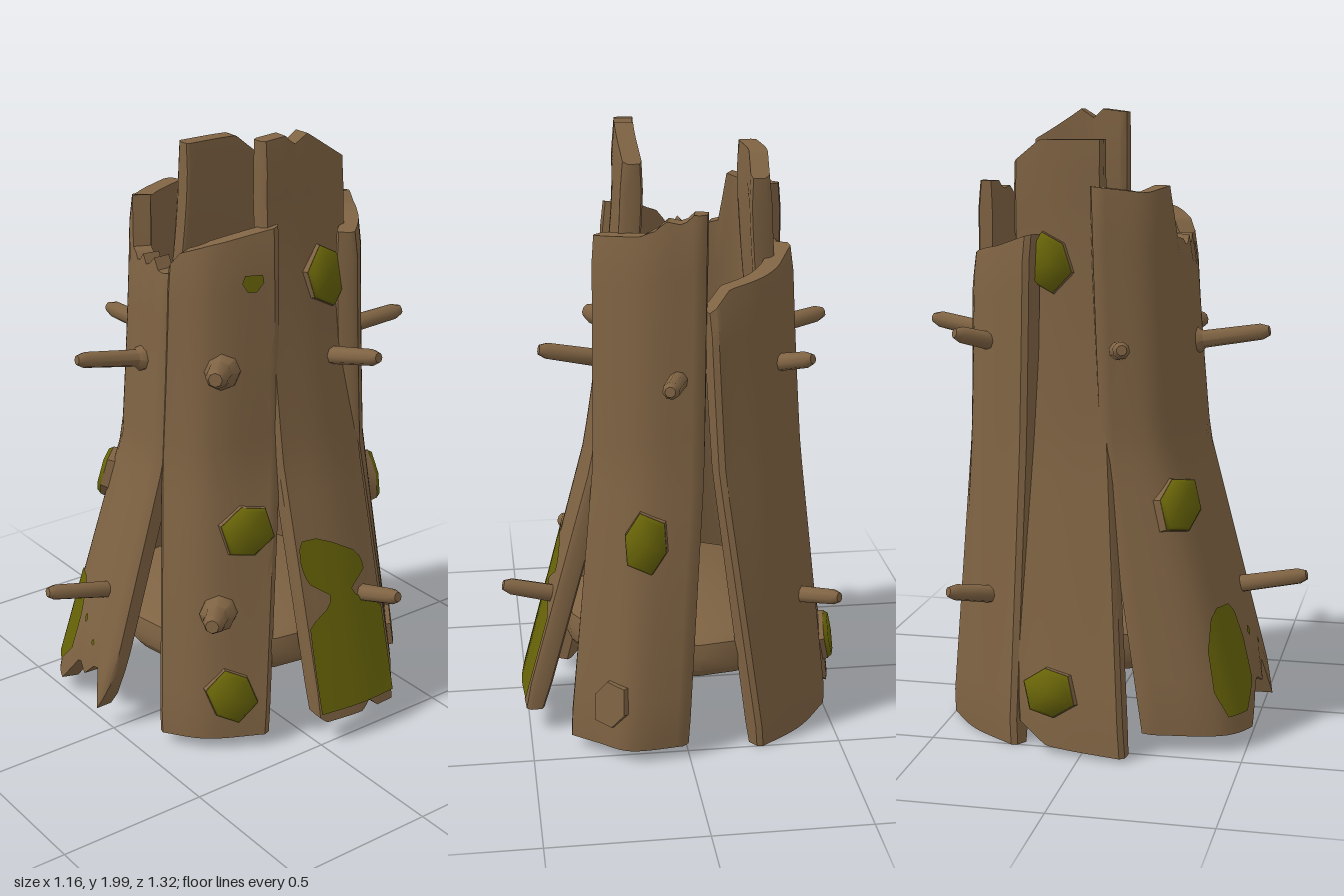
import * as THREE from 'three';
import { toCreasedNormals } from 'three/addons/utils/BufferGeometryUtils.js';

const wood = new THREE.MeshStandardMaterial({ color: 0x7f6343 });
wood.name = 'wood';
const moss = new THREE.MeshStandardMaterial({ color: 0x676308, side: THREE.DoubleSide });
moss.name = 'moss';

// Each plank: outer [x, z] points low, at the bend and high; jagged ends as [u, y]
const LEVELS = [0.05, 0.95, 1.8];
const PLANKS = {
  front: {
    low: [[-0.5, 0.19], [-0.42, 0.46], [-0.2, 0.55], [0, 0.555]],
    mid: [[-0.385, 0.03], [-0.335, 0.205], [-0.19, 0.3], [0.03, 0.315]],
    high: [[-0.375, 0], [-0.31, 0.175], [-0.165, 0.255], [0.02, 0.255]],
    top: [[0, 1.77], [0.3, 1.75], [0.5, 1.77], [0.57, 1.61], [0.65, 1.6], [0.7, 1.57], [0.74, 1.62], [0.8, 1.57], [0.85, 1.62], [0.9, 1.57], [1, 1.58]],
    bottom: [[0, 0.07], [0.5, 0.06], [0.55, 0.1], [0.66, 0.19], [0.75, 0.16], [0.85, 0.22], [0.94, 0.06], [1, 0.22]]
  },
  frontLeft: {
    low: [[0.17, 0.43], [0.295, 0.33], [0.4, 0.14]],
    mid: [[0.025, 0.31], [0.165, 0.22], [0.255, -0.01]],
    high: [[0.015, 0.26], [0.125, 0.18], [0.225, -0.015]],
    top: [[0, 1.6], [0.15, 1.65], [0.6, 1.69], [1, 1.73]],
    bottom: [[0, 0.05], [1, 0.05]]
  },
  left: {
    low: [[0.515, 0.012], [0.535, -0.15], [0.53, -0.31]],
    mid: [[0.275, 0.01], [0.3, -0.16], [0.285, -0.32]],
    high: [[0.18, 0.012], [0.195, -0.15], [0.185, -0.312]],
    top: [[0, 1.99], [0.25, 2], [0.35, 1.97], [0.5, 2], [1, 1.9]],
    bottom: [[0, 0.12], [0.1, 0.09], [0.55, 0.09], [0.65, 0.12], [0.75, 0.09], [1, 0.09]]
  },
  backLeft: {
    low: [[0.385, -0.42], [0.3, -0.485], [0.2, -0.555], [0, -0.545]],
    mid: [[0.29, -0.31], [0.22, -0.385], [0.13, -0.445], [-0.05, -0.475]],
    high: [[0.28, -0.28], [0.21, -0.355], [0.12, -0.42], [-0.055, -0.465]],
    top: [[0, 1.68], [0.6, 1.7], [0.72, 1.72], [0.78, 1.75], [0.88, 1.74], [0.92, 1.77], [1, 1.77]],
    bottom: [[0, 0.05], [1, 0.05]]
  },
  backRight: {
    low: [[-0.235, -0.515], [-0.39, -0.4], [-0.515, -0.23]],
    mid: [[-0.105, -0.475], [-0.3, -0.4], [-0.41, -0.215]],
    high: [[-0.065, -0.475], [-0.25, -0.385], [-0.365, -0.21]],
    top: [[0, 1.47], [0.15, 1.54], [0.7, 1.58], [1, 1.62]],
    bottom: [[0, 0.01], [1, 0.01]]
  },
  right: {
    low: [[-0.515, -0.22], [-0.56, -0.05], [-0.585, 0.14]],
    mid: [[-0.36, -0.25], [-0.38, -0.1], [-0.385, 0.06]],
    high: [[-0.285, -0.275], [-0.295, -0.13], [-0.29, 0.015]],
    top: [[0, 1.84], [0.3, 1.91], [1, 1.91]],
    bottom: [[0, 0.1], [0.3, 0.03], [1, 0.02]]
  }
};
for (const p of Object.values(PLANKS)) {
  p.curves = [p.low, p.mid, p.high].map(pts =>
    new THREE.CatmullRomCurve3(pts.map(([x, z]) => new THREE.Vector3(x, 0, z))));
}

// Piecewise linear lookup; returns the value columns at key t
function lookup(table, t) {
  let i = 0;
  while (i < table.length - 2 && t > table[i + 1][0]) i++;
  const a = table[i], b = table[i + 1], k = (t - a[0]) / (b[0] - a[0]);
  return a.slice(1).map((v, j) => v + (b[j + 1] - v) * k);
}

// Point on a plank's outer face: straight flare below the bend, easing to upright above
function surface(plank, u, y) {
  const s = y < LEVELS[1] ? 0 : 1;
  let t = (y - LEVELS[s]) / (LEVELS[s + 1] - LEVELS[s]);
  if (s === 1) t = 1 - Math.pow(1 - Math.min(t, 1), 1.35);
  const a = plank.curves[s].getPoint(u), b = plank.curves[s + 1].getPoint(u);
  return a.multiplyScalar(1 - t).addScaledVector(b, t).setY(y);
}

function outward(plank, u, y) {
  const t = surface(plank, Math.min(1, u + 0.04), y).sub(surface(plank, Math.max(0, u - 0.04), y));
  const rise = surface(plank, u, y + 0.02).sub(surface(plank, u, y - 0.02));
  return t.cross(rise).normalize();
}

function makeGeometry(points, index) {
  const g = new THREE.BufferGeometry();
  g.setAttribute('position', new THREE.Float32BufferAttribute(points.flatMap(p => [p.x, p.y, p.z]), 3));
  g.setIndex(index);
  return g;
}

// Closed plank: outer face, inner face, sides and broken ends
function plankGeometry(plank) {
  const N = 28, M = 20, ring = 2 * (N + 1), points = [], index = [];
  const quad = (a, b, c, d) => index.push(a, b, c, a, c, d);
  for (let j = 0; j <= M; j++) {
    const outer = [], inner = [];
    for (let i = 0; i <= N; i++) {
      const u = i / N;
      const y = THREE.MathUtils.lerp(lookup(plank.bottom, u)[0], lookup(plank.top, u)[0], j / M);
      const n = outward(plank, u, y).setY(0).normalize();
      const dip = (i === 0 || i === N ? 0.015 : 0) + (j === 0 || j === M ? 0.008 : 0);
      const p = surface(plank, u, y);
      outer.push(p.clone().addScaledVector(n, -dip));
      inner.unshift(p.clone().addScaledVector(n, -0.07 + dip * 0.5));
    }
    points.push(...outer, ...inner);
  }
  for (let j = 0; j < M; j++) for (let i = 0; i < ring; i++) {
    const k = (i + 1) % ring;
    quad(j * ring + i, j * ring + k, (j + 1) * ring + k, (j + 1) * ring + i);
  }
  const last = M * ring;
  for (let i = 0; i < N; i++) {
    const a = ring - 1 - i, b = ring - 2 - i;
    quad(last + i, last + i + 1, last + b, last + a);
    quad(i + 1, i, a, b);
  }
  return toCreasedNormals(makeGeometry(points, index), 0.7);
}

// Flat moss stain following the plank; rows are [y, uStart, uEnd]
function stainGeometry(plank, rows) {
  const N = 8, M = 24, points = [], index = [];
  const y0 = rows[0][0], y1 = rows[rows.length - 1][0];
  for (let j = 0; j <= M; j++) {
    const y = THREE.MathUtils.lerp(y0, y1, j / M), [a, b] = lookup(rows, y);
    for (let i = 0; i <= N; i++) {
      const u = THREE.MathUtils.lerp(a, b, i / N);
      points.push(surface(plank, u, y).addScaledVector(outward(plank, u, y), 0.005));
      if (i < N && j < M) {
        const k = j * (N + 1) + i;
        index.push(k, k + 1, k + N + 2, k, k + N + 2, k + N + 1);
      }
    }
  }
  const g = makeGeometry(points, index);
  g.computeVertexNormals();
  return g;
}

// Irregular six-sided chip, facing +z
function chipGeometry(rTop, rBottom, depth, seed) {
  const g = new THREE.CylinderGeometry(rTop, rBottom, depth, 6).rotateX(Math.PI / 2).rotateZ(0.25);
  const pos = g.attributes.position;
  for (let i = 0; i < pos.count; i++) {
    const x = pos.getX(i), y = pos.getY(i), k = 1.05 + 0.12 * Math.sin(2 * Math.atan2(y, x) + seed);
    pos.setXY(i, x * k, y * k);
  }
  return toCreasedNormals(g, 0.5);
}

export function createModel() {
  const model = new THREE.Group();
  const add = (parent, name, geometry, material) => {
    const mesh = new THREE.Mesh(geometry, material);
    mesh.name = name;
    parent.add(mesh);
    return mesh;
  };
  const lathe = (profile, sides, crease) =>
    toCreasedNormals(new THREE.LatheGeometry(profile.map(p => new THREE.Vector2(...p)), sides), crease);

  for (const [name, plank] of Object.entries(PLANKS)) add(model, name + 'Plank', plankGeometry(plank), wood);

  // Floor disc with rounded rim and hollow underside
  const profile = [[0, 0.31], [0.34, 0.31], [0.35, 0.25], [0.39, 0.25], [0.415, 0.28], [0.42, 0.325], [0.41, 0.37], [0.37, 0.395], [0, 0.395]];
  add(model, 'floorDisc', lathe(profile, 20, 0.6), wood).position.set(-0.045, 0, -0.055);

  // Moss stains
  const stains = [
    ['front', [[0.12, 0.34, 0.47], [0.2, 0.3, 0.58], [0.33, 0.32, 0.6], [0.42, 0.38, 0.58], [0.45, 0.44, 0.54]]],
    ['front', [[0.325, 0.67, 0.68], [0.34, 0.655, 0.695], [0.355, 0.67, 0.68]]],
    ['front', [[0.275, 0.79, 0.8], [0.285, 0.78, 0.81], [0.295, 0.79, 0.8]]],
    ['left', [[0.125, 0.04, 0.96], [0.3, 0.04, 0.96], [0.42, 0.05, 0.96], [0.46, 0.25, 0.75], [0.5, 0.35, 0.55],
      [0.56, 0.1, 0.8], [0.62, 0.05, 0.72], [0.68, 0.06, 0.4], [0.7, 0.1, 0.25]]],
    ['frontLeft', [[1.53, 0.78, 0.84], [1.56, 0.74, 0.89], [1.585, 0.76, 0.88]]]
  ];
  for (const [name, rows] of stains) add(model, name + 'MossStain', stainGeometry(PLANKS[name], rows), moss);

  // Bark chips, most capped with moss: plank, u, y, half width, half height, mossy
  const chips = [
    ['front', 0.37, 0.78, 0.085, 0.095, true], ['frontLeft', 0.78, 0.745, 0.09, 0.1, true],
    ['frontLeft', 0.7, 0.2, 0.085, 0.1, true], ['left', 0.66, 1.54, 0.09, 0.1, true],
    ['backLeft', 0.7, 0.74, 0.08, 0.1, true], ['backLeft', 0.48, 0.2, 0.065, 0.085, false],
    ['right', 0.37, 0.2, 0.09, 0.09, true], ['right', 0.4, 1.53, 0.08, 0.1, true]
  ];
  chips.forEach(([name, u, y, w, h, mossy], i) => {
    const chip = new THREE.Group(), n = outward(PLANKS[name], u, y);
    chip.name = 'barkChip';
    chip.position.copy(surface(PLANKS[name], u, y)).addScaledVector(n, -0.015);
    chip.lookAt(chip.position.clone().add(n));
    chip.scale.set(w, h, 1);
    add(chip, 'chipBase', chipGeometry(0.92, 1, 0.06, i * 1.3), wood);
    if (mossy) add(chip, 'chipMoss', chipGeometry(0.8, 0.92, 0.016, i * 1.3), moss).position.z = 0.036;
    model.add(chip);
  });

  // Pegs: base, tip, radius, length of the collar at the base
  const pegs = [
    [[-0.1, 1.26, 0.22], [-0.12, 1.31, 0.52], 0.026, 0.075], [[-0.11, 0.46, 0.38], [-0.135, 0.52, 0.655], 0.026, 0],
    [[0.1, 1.265, 0.1], [0.25, 1.295, 0.25], 0.037, 0.1], [[0.2, 0.47, 0.19], [0.345, 0.5, 0.335], 0.037, 0.1],
    [[0.19, 1.26, -0.22], [0.44, 1.315, -0.25], 0.027, 0], [[0.36, 0.46, -0.23], [0.575, 0.52, -0.25], 0.027, 0],
    [[0.01, 1.25, -0.38], [0.08, 1.295, -0.66], 0.027, 0], [[-0.32, 1.26, 0.07], [-0.545, 1.295, 0.13], 0.027, 0],
    [[-0.26, 1.26, -0.31], [-0.39, 1.31, -0.44], 0.026, 0], [[-0.36, 0.46, -0.3], [-0.5, 0.5, -0.44], 0.026, 0]
  ];
  for (const [a, b, r, collar] of pegs) {
    const base = new THREE.Vector3(...a), dir = new THREE.Vector3(...b).sub(base), len = dir.length();
    const root = collar ? [[r * 1.7, 0], [r * 1.6, collar], [r * 1.1, collar + 0.015]] : [[r * 1.15, 0]];
    const peg = add(model, 'peg', lathe([...root, [r, len - r], [r * 0.6, len], [0, len]], 8, 0.85), wood);
    peg.position.copy(base);
    peg.quaternion.setFromUnitVectors(new THREE.Vector3(0, 1, 0), dir.normalize());
  }
  return model;
}
